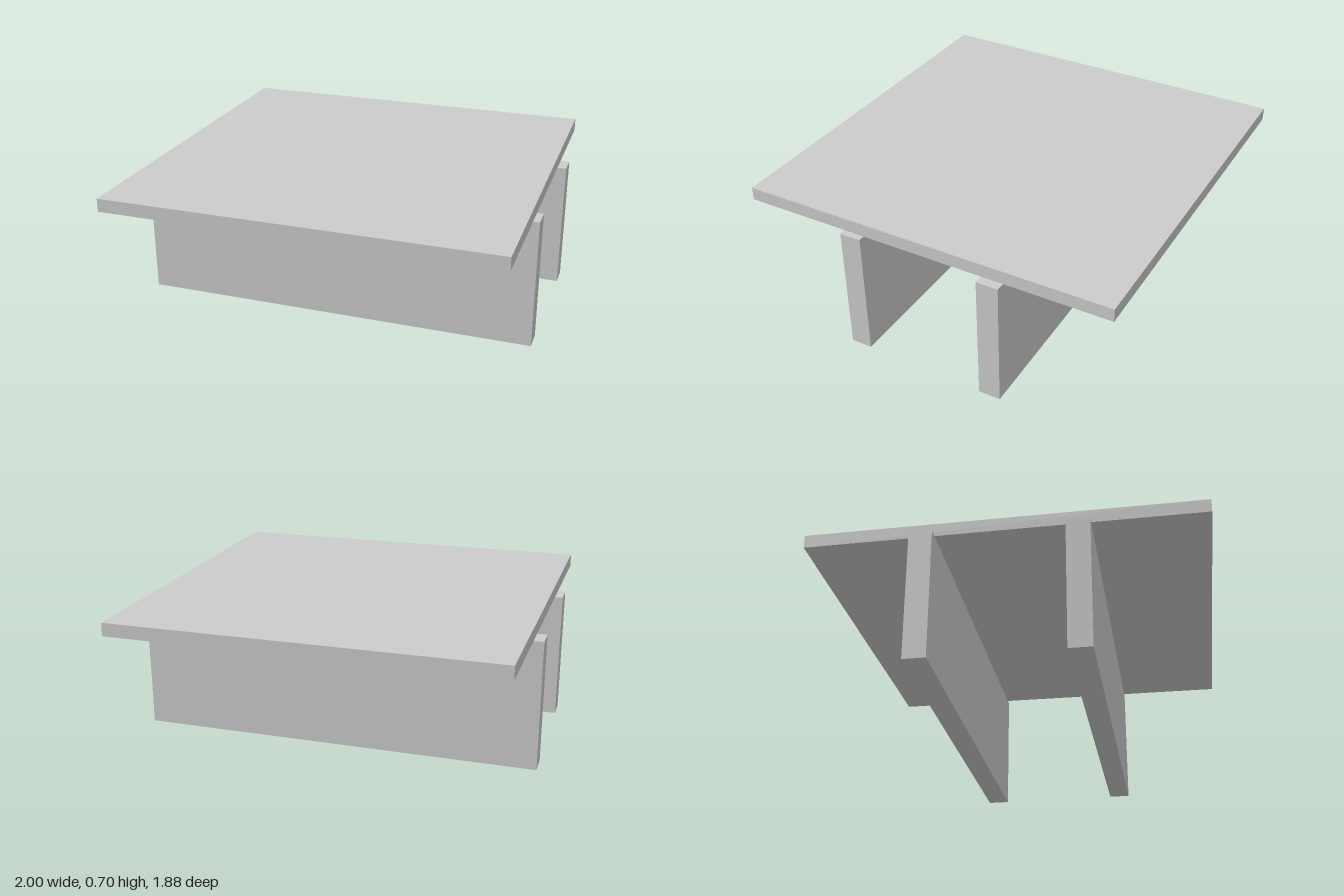
import * as THREE from 'three';

const material = new THREE.MeshStandardMaterial({ color: 0xcccccc, flatShading: true });

// Slightly irregular slab: corners are [x, z] in order back-left, back-right, front-right, front-left of the plan
function slab(name, corners, bottom, top) {
  const [nn, pn, pp, np] = corners;
  const geometry = new THREE.BoxGeometry(2, 2, 2);
  const pos = geometry.attributes.position;
  for (let i = 0; i < pos.count; i++) {
    const back = pos.getZ(i) < 0;
    const [x, z] = pos.getX(i) < 0 ? (back ? nn : np) : (back ? pn : pp);
    pos.setXYZ(i, x, pos.getY(i) < 0 ? bottom : top, z);
  }
  geometry.computeVertexNormals();
  const mesh = new THREE.Mesh(geometry, material);
  mesh.name = name;
  return mesh;
}

export function createModel() {
  const table = new THREE.Group();
  table.name = 'table';
  const height = 0.64;

  // Table top, a touch wider at the front
  table.add(slab('tableTop', [[-0.947, -0.942], [0.948, -0.938], [0.96, 0.94], [-0.963, 0.94]], height, 0.705));

  // Two upright panels that carry the top
  table.add(slab('frontLegPanel', [[-0.997, 0.293], [0.988, 0.303], [0.988, 0.41], [-0.997, 0.404]], 0, height));
  table.add(slab('backLegPanel', [[-1, -0.425], [0.996, -0.42], [0.996, -0.311], [-1, -0.316]], 0, height));
  return table;
}
